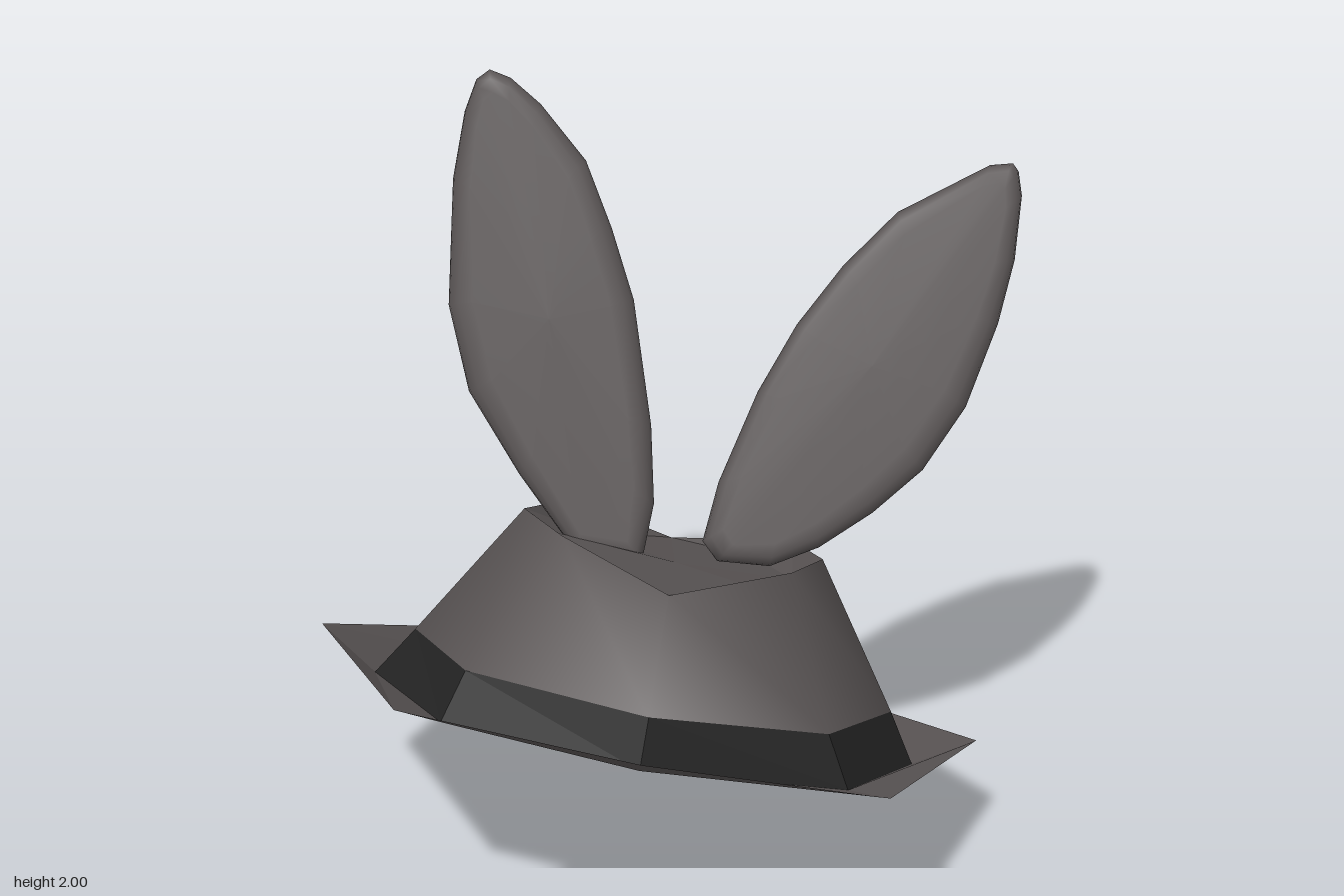
import * as THREE from 'three';

// Skin a list of equal-length rings, running from the inside outwards.
function loft(rings) {
  const n = rings[0].length, index = [];
  for (let r = 0; r < rings.length - 1; r++) {
    for (let i = 0; i < n; i++) {
      const j = (i + 1) % n, a = r * n, b = a + n;
      index.push(a + i, b + i, b + j, a + i, b + j, a + j);
    }
  }
  const g = new THREE.BufferGeometry();
  g.setAttribute('position', new THREE.Float32BufferAttribute(rings.flat(2), 3));
  g.setIndex(index);
  g.computeVertexNormals();
  return g;
}

const point = (p, n) => Array.from({ length: n }, () => p);

function part(name, rings, color, flatShading) {
  const material = new THREE.MeshStandardMaterial({ color, flatShading, side: THREE.DoubleSide });
  const mesh = new THREE.Mesh(loft(rings), material);
  mesh.name = name;
  return mesh;
}

const FELT = 0x5a5555, RIBBON = 0x242424, PINK = 0xe8a3bb;

// Octagonal rings of the tilted hat: front, then round by +x, back and -x.
const brimEdge = [
  [-0.01, 0.69, 0.95], [0.58, 0.48, 0.69], [0.83, 0.29, -0.01], [0.52, 0.08, -0.66],
  [-0.11, 0.0, -0.96], [-0.69, 0.29, -0.67], [-0.92, 0.59, -0.02], [-0.63, 0.68, 0.67],
];
const base = [
  [-0.03, 0.55, 0.71], [0.48, 0.40, 0.5], [0.66, 0.22, 0], [0.43, 0.11, -0.49],
  [-0.06, 0.14, -0.7], [-0.58, 0.28, -0.49], [-0.78, 0.46, 0], [-0.54, 0.565, 0.5],
];
const bandTop = [
  [-0.01, 0.67, 0.66], [0.43, 0.535, 0.46], [0.6, 0.37, -0.01], [0.4, 0.26, -0.49],
  [-0.05, 0.26, -0.695], [-0.53, 0.41, -0.5], [-0.67, 0.58, -0.02], [-0.48, 0.685, 0.45],
];
const crownRim = [
  [0.03, 0.91, 0.47], [0.33, 0.89, 0.27], [0.41, 0.77, -0.1], [0.33, 0.66, -0.48],
  [-0.02, 0.58, -0.68], [-0.285, 0.76, -0.52], [-0.38, 0.9, -0.1], [-0.25, 0.98, 0.27],
];
const dentFloor = [
  [0.03, 0.91, 0.47], [0.26, 0.83, 0.25], [0.33, 0.71, -0.1], [0.22, 0.62, -0.46],
  [-0.02, 0.58, -0.68], [-0.24, 0.68, -0.47], [-0.29, 0.83, -0.1], [-0.21, 0.89, 0.26],
];

// Leaf-shaped ear: a flat outline (anticlockwise from the front) leaning back.
function ear(name, outline, foot, tip, z0, slope) {
  const n = outline.length;
  const axis = new THREE.Vector2(tip[0] - foot[0], tip[1] - foot[1]);
  const half = axis.length() / 2;
  axis.normalize();
  const cx = (foot[0] + tip[0]) / 2, cy = (foot[1] + tip[1]) / 2;
  const len = Math.hypot(1, slope);
  const place = (x, y, d) => [x, y + d * slope / len, z0 - slope * (y - 0.75) + d / len];
  // Ring drawn in from the outline by inset, at depth d along the ear's normal
  const ring = (inset, d) => outline.map(([x, y]) => {
    const dx = x - cx, dy = y - cy;
    const along = (dx * axis.x + dy * axis.y) * (1 - inset / half);
    const across = (-dx * axis.y + dy * axis.x) * (1 - inset / 0.22);
    return place(cx + along * axis.x - across * axis.y, cy + along * axis.y + across * axis.x, d);
  });
  const group = new THREE.Group();
  group.name = name;
  const lip = ring(0.08, -0.02);
  group.add(part('earShell', [
    point(place(cx, cy, 0.045), n), ring(0.06, 0.043), ring(0.025, 0.036), ring(0.006, 0.02),
    ring(0, 0), ring(0.008, -0.024), ring(0.03, -0.043), ring(0.055, -0.043), lip,
  ], FELT, false));
  group.add(part('innerEar', [lip, ring(0.13, 0.008), point(place(cx, cy, 0.018), n)], PINK, false));
  return group;
}

export function createModel() {
  const model = new THREE.Group();
  model.name = 'rabbitEarHat';

  // Hat body
  model.add(part('brim', [base, brimEdge], FELT, true));
  model.add(part('underside', [base, point([-0.05, 0.34, 0], 8)], FELT, true));
  model.add(part('hatBand', [bandTop, base], RIBBON, true));
  model.add(part('crown', [crownRim, bandTop], FELT, false));
  model.add(part('crownDent', [point([0.02, 0.775, -0.05], 8), dentFloor, crownRim], FELT, true));

  // Ears
  model.add(ear('rightEar', [
    [-0.24, 0.76], [-0.07, 0.75], [-0.04, 0.9], [-0.05, 1.1], [-0.1, 1.42], [-0.16, 1.6],
    [-0.23, 1.77], [-0.35, 1.91], [-0.43, 1.975], [-0.485, 1.995], [-0.52, 1.97], [-0.55, 1.89],
    [-0.58, 1.72], [-0.59, 1.4], [-0.535, 1.18], [-0.4, 0.97],
  ], [-0.15, 0.75], [-0.49, 1.99], -0.11, 0.275));
  model.add(ear('leftEar', [
    [0.09, 0.8], [0.13, 0.75], [0.27, 0.74], [0.4, 0.79], [0.54, 0.88], [0.67, 0.99],
    [0.78, 1.15], [0.86, 1.36], [0.9, 1.52], [0.915, 1.68], [0.905, 1.74], [0.89, 1.76],
    [0.83, 1.755], [0.59, 1.635], [0.45, 1.5], [0.33, 1.35], [0.23, 1.18], [0.13, 0.95],
  ], [0.16, 0.74], [0.9, 1.76], -0.12, 0.33));

  return model;
}
